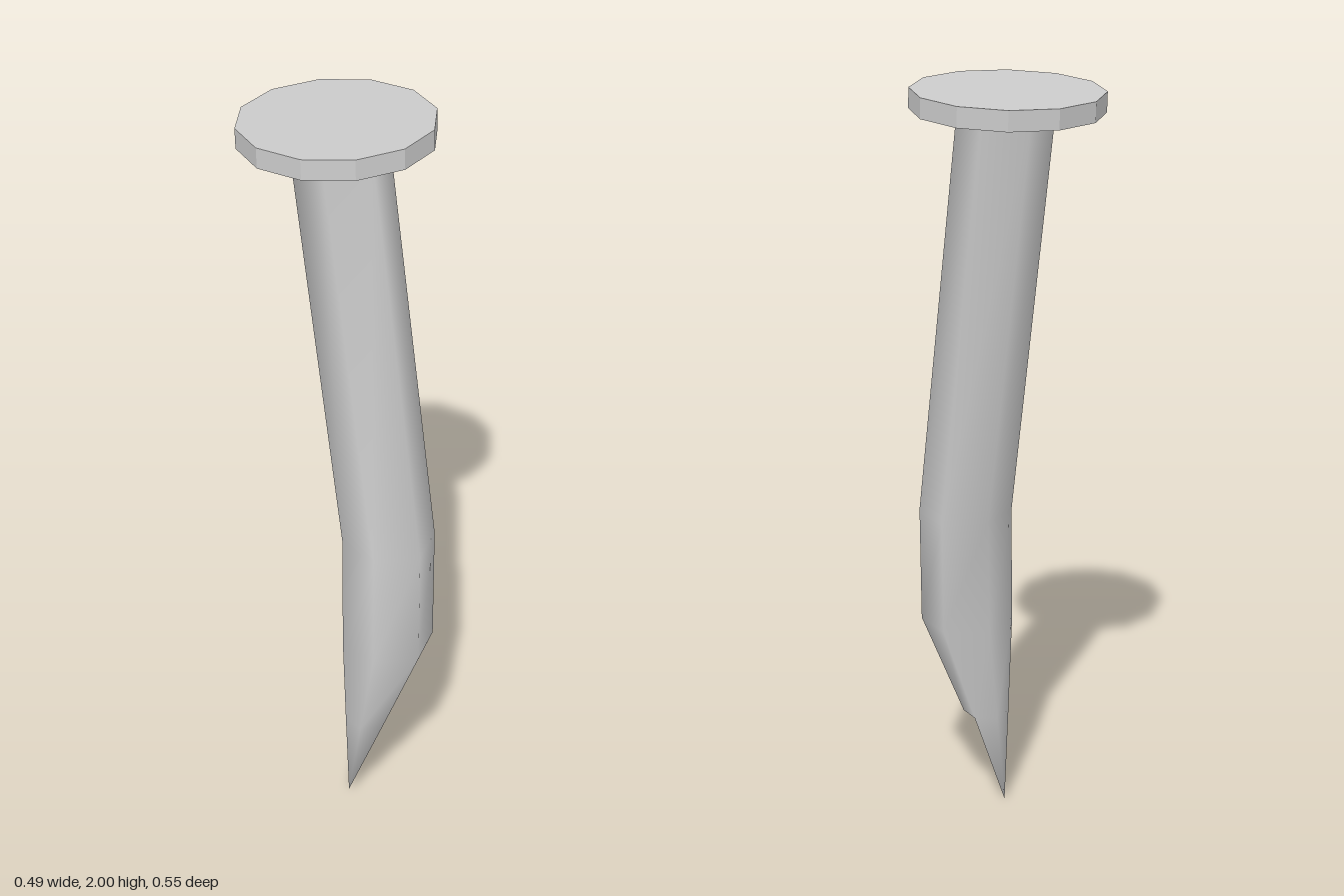
import * as THREE from 'three';

// Six-sided rings down the shank: centre x, y, z and radius
const RINGS = [
  [0, 1.95, -0.023, 0.122],
  [0.03, 0.85, 0.142, 0.122],
  [0.02, 0.535, 0.155, 0.122],
  [-0.02, 0.265, 0.122, 0.061],
];
const TIP = [-0.06, 0, 0.09];
const SIDES = 6;

function shankGeometry() {
  const positions = [];
  const index = [];
  for (const [x, y, z, r] of RINGS) {
    for (let i = 0; i < SIDES; i++) {
      const a = (i / SIDES) * Math.PI * 2;
      positions.push(x + r * Math.sin(a), y, z + r * Math.cos(a));
    }
  }
  positions.push(...TIP);
  const tip = RINGS.length * SIDES;

  for (let i = 0; i < SIDES; i++) {
    const j = (i + 1) % SIDES;
    for (let k = 0; k < RINGS.length - 1; k++) {
      const upper = k * SIDES;
      const lower = upper + SIDES;
      index.push(upper + i, lower + i, upper + j);
      index.push(upper + j, lower + i, lower + j);
    }
    // The point is cut open on its front left, showing the inside
    const last = tip - SIDES;
    if (i > 1) index.push(last + i, tip, last + j);
  }

  const geometry = new THREE.BufferGeometry();
  geometry.setAttribute('position', new THREE.Float32BufferAttribute(positions, 3));
  geometry.setIndex(index);
  geometry.computeVertexNormals();
  return geometry;
}

export function createModel() {
  const group = new THREE.Group();
  group.name = 'bentNail';

  // Bent shank with a sharp, hollow point
  const shank = new THREE.Mesh(
    shankGeometry(),
    new THREE.MeshStandardMaterial({ color: 0xcccccc, side: THREE.DoubleSide })
  );
  shank.name = 'shank';

  // Flat, slightly tilted twelve-sided head
  const head = new THREE.Mesh(
    new THREE.CylinderGeometry(0.244, 0.244, 0.052, 12),
    new THREE.MeshStandardMaterial({ color: 0xcccccc, flatShading: true })
  );
  head.name = 'head';
  head.position.set(0, 1.963, -0.028);
  head.rotation.x = -0.045;

  group.add(shank, head);
  return group;
}
